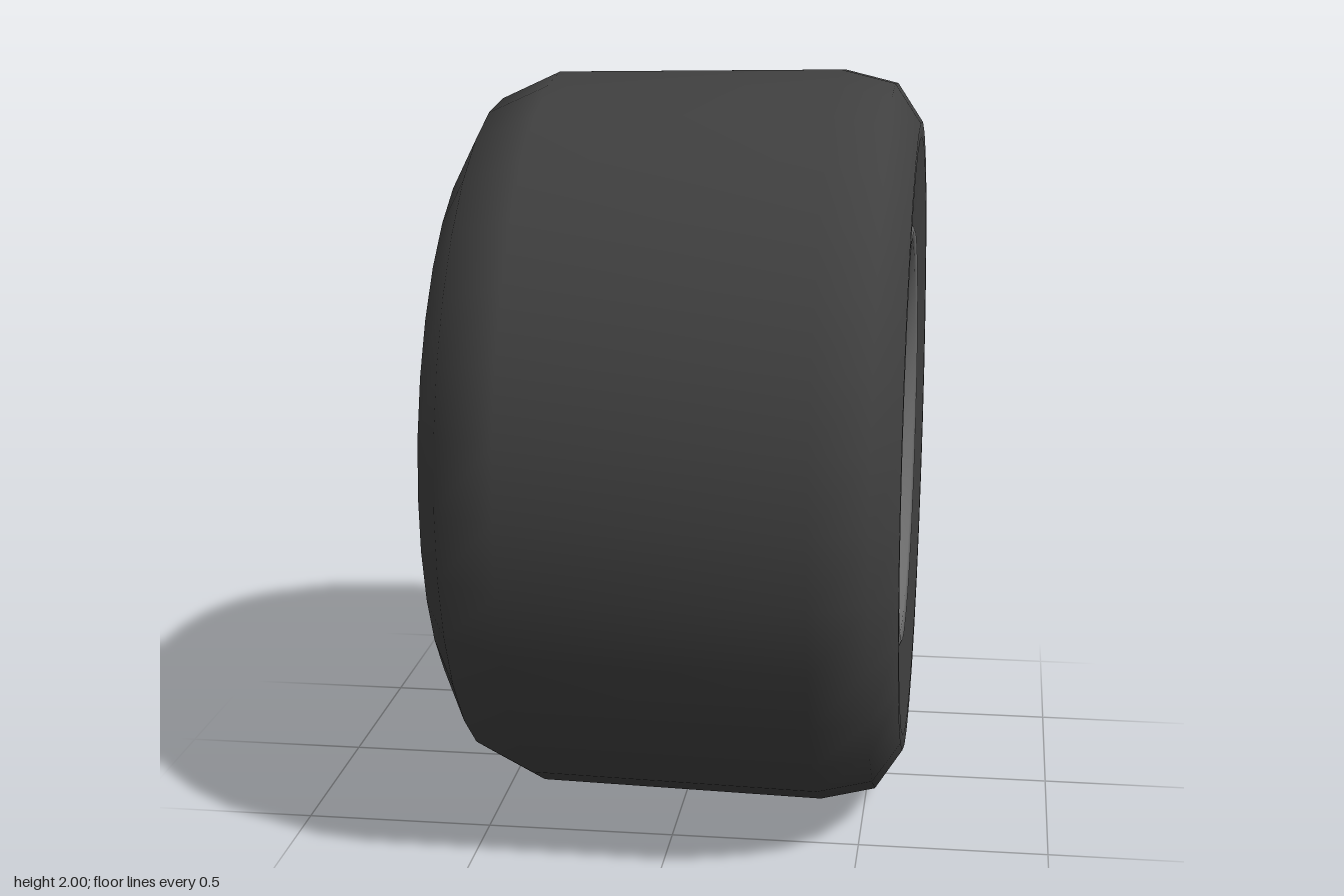
import * as THREE from 'three';

const SIDES = 32;

export function createModel() {
  const wheel = new THREE.Group();
  wheel.name = 'wheel';

  const rubber = new THREE.MeshStandardMaterial({ color: 0x404040 });
  const rimGrey = new THREE.MeshStandardMaterial({ color: 0x6b6b6b });
  const metal = new THREE.MeshStandardMaterial({ color: 0xcccccc });

  // Spins a [radius, x] profile about the axle; separate profiles keep sharp creases
  function spin(name, material, profile) {
    const points = profile.map(([r, x]) => new THREE.Vector2(r, x));
    const geometry = new THREE.LatheGeometry(points, SIDES);
    geometry.rotateZ(-Math.PI / 2);
    const mesh = new THREE.Mesh(geometry, material);
    mesh.name = name;
    mesh.position.y = 1;
    wheel.add(mesh);
  }

  // Tyre: slightly tapered tread with a rounder inner shoulder
  spin('tyre', rubber, [
    [0.6, -0.59], [0.73, -0.605], [0.765, -0.605], [0.91, -0.53], [0.985, -0.37],
    [1.0, 0.39], [0.965, 0.535], [0.86, 0.605], [0.82, 0.605], [0.6, 0.58],
  ]);

  // Outer rim: rounded lip, deep dish and flat centre
  spin('outerRimLip', rimGrey, [[0.6, 0.575], [0.565, 0.592], [0.545, 0.585], [0.53, 0.56]]);
  spin('outerRimDish', rimGrey, [[0.53, 0.56], [0.375, 0.33]]);
  spin('rimCentre', rimGrey, [[0.375, 0.33], [0, 0.33]]);

  // Inner rim
  spin('innerRimDish', rimGrey, [[0.36, -0.33], [0.53, -0.575]]);
  spin('innerRimLip', rimGrey, [[0.53, -0.575], [0.545, -0.595], [0.565, -0.602], [0.6, -0.588]]);

  // Brake drum on the inner side
  spin('drumWall', rubber, [[0.37, -0.52], [0.37, -0.32]]);
  spin('drumCap', rubber, [[0, -0.52], [0.37, -0.52]]);

  // Tapered hub nut
  spin('hubNutSide', metal, [[0.16, 0.33], [0.16, 0.35], [0.1, 0.525]]);
  spin('hubNutTip', metal, [[0.1, 0.525], [0, 0.525]]);

  return wheel;
}
